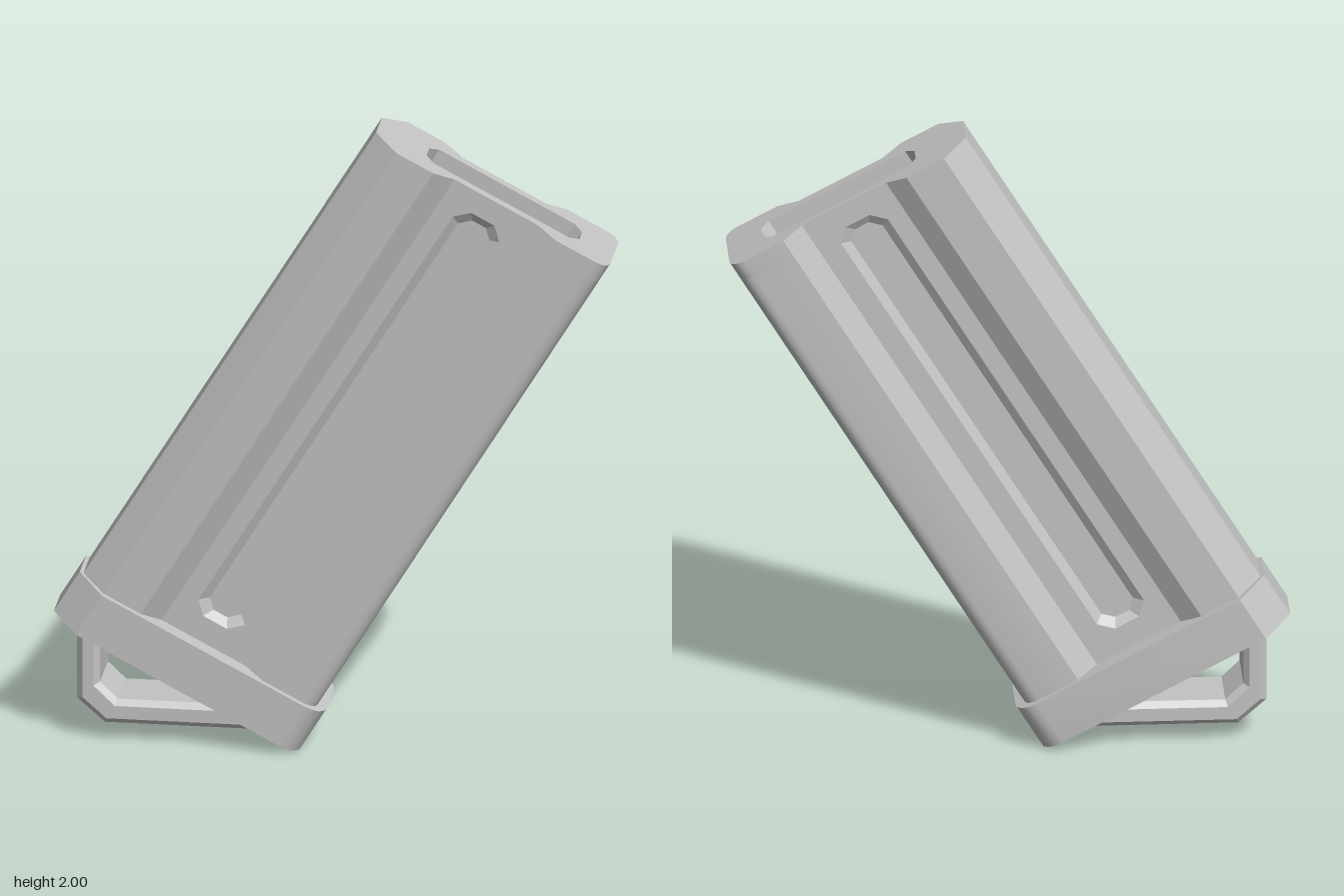
import * as THREE from 'three';
import { toCreasedNormals } from 'three/addons/utils/BufferGeometryUtils.js';

// Slanted frame: s runs across the top edge, t runs up the body, from the upper left corner
const W = new THREE.Vector3(0.884, -0.467, 0);
const A = new THREE.Vector3(0.52, 0.854, 0);
const Z = new THREE.Vector3(0, 0, 1);
const ORIGIN = new THREE.Vector3(0.134, 2.0, 0);
const sectionFrame = new THREE.Matrix4().makeBasis(W, Z.clone().negate(), A).setPosition(ORIGIN);
const panelFrame = new THREE.Matrix4().makeBasis(W, A, Z).setPosition(ORIGIN);

const toPoints = (list) => list.map(([x, y]) => new THREE.Vector2(x, y));

// Rectangle with cut corners
function cutRect(x0, x1, y0, y1, c) {
  return toPoints([
    [x0 + c, y0], [x1 - c, y0], [x1, y0 + c], [x1, y1 - c],
    [x1 - c, y1], [x0 + c, y1], [x0, y1 - c], [x0, y0 + c],
  ]);
}

// Symmetric outline: the half on +y, closed by a rounded far end, then mirrored
function outline(half, end, side, radius) {
  const top = half.slice();
  for (let i = 0; i <= 4; i++) {
    const a = (i / 4) * Math.PI / 2;
    top.push([end - radius + Math.sin(a) * radius, side - radius + Math.cos(a) * radius]);
  }
  const bottom = top.map(([x, y]) => [x, -y]);
  return new THREE.Shape(toPoints([...bottom, ...top.reverse()]));
}

// Body section with a shallow channel of the given floor height on each side
function bodyOutline(floor) {
  const half = [[0, 0.065], [0.08, 0.135], [0.209, 0.135], [0.277, 0.095]];
  if (floor < 0.095) half.push([0.277, floor], [0.566, floor]);
  half.push([0.566, 0.095], [0.634, 0.135]);
  return outline(half, 0.816, 0.135, 0.045);
}

function prism(shape, t0, t1) {
  const g = new THREE.ExtrudeGeometry(shape, { depth: t1 - t0, bevelEnabled: false });
  g.translate(0, 0, t0).applyMatrix4(sectionFrame);
  return toCreasedNormals(g, 0.48);
}

// Sloped wall joining two outlines with equal point counts
function slopedWall(outer, zOuter, inner, zInner) {
  const pos = [];
  outer.forEach((p, i) => {
    const j = (i + 1) % outer.length;
    const a = [p.x, p.y, zOuter], b = [outer[j].x, outer[j].y, zOuter];
    const c = [inner[j].x, inner[j].y, zInner], d = [inner[i].x, inner[i].y, zInner];
    pos.push(...a, ...b, ...c, ...a, ...c, ...d);
  });
  const g = new THREE.BufferGeometry();
  g.setAttribute('position', new THREE.Float32BufferAttribute(pos, 3));
  g.applyMatrix4(panelFrame).computeVertexNormals();
  return g;
}

export function createModel() {
  const model = new THREE.Group();
  const grey = new THREE.MeshStandardMaterial({ color: 0xc3c3c3, side: THREE.DoubleSide });
  grey.name = 'lightGrey';
  const add = (name, geometry, parent = model) => {
    const mesh = new THREE.Mesh(geometry, grey);
    mesh.name = name;
    parent.add(mesh);
    return mesh;
  };

  // Body, with a shallow slot in its top end
  const slotDepth = 0.06, grooveFloor = 0.077;
  add('body', prism(bodyOutline(grooveFloor), -1.75, -slotDepth));
  const end = bodyOutline(0.095);
  end.holes.push(new THREE.Path(cutRect(0.17, 0.70, -0.06, 0.06, 0.03)));
  add('slottedTopEnd', prism(end, -slotDepth, 0));

  // Channel floors, each with a long pressed groove
  const rim = cutRect(0.335, 0.497, -1.65, -0.07, 0.04);
  const foot = cutRect(0.362, 0.47, -1.623, -0.097, 0.03);
  const floorShape = new THREE.Shape(toPoints([
    [0.277, -1.75], [0.566, -1.75], [0.566, -slotDepth], [0.277, -slotDepth],
  ]));
  floorShape.holes.push(new THREE.Path(rim));
  const floorGeometry = new THREE.ShapeGeometry(floorShape);
  floorGeometry.translate(0, 0, 0.095).applyMatrix4(panelFrame);
  const wallGeometry = slopedWall(rim, 0.095, foot, grooveFloor);
  for (const [name, side] of [['frontChannel', 1], ['backChannel', -1]]) {
    const channel = new THREE.Group();
    channel.name = name;
    channel.scale.z = side;
    add('channelFloor', floorGeometry, channel);
    add('grooveWall', wallGeometry, channel);
    model.add(channel);
  }

  // Base plate, a wider collar around the lower end
  const plate = outline([[-0.012, 0.07], [0.078, 0.157]], 0.846, 0.157, 0.07);
  add('basePlate', prism(plate, -1.88, -1.727));

  // Pull loop under the plate, with bevelled edges
  const loop = new THREE.Shape(toPoints([
    [-0.78, 0.40], [-0.78, 0.13], [-0.695, 0.055], [-0.15, 0.055],
    [-0.15, 0.132], [-0.655, 0.132], [-0.71, 0.185], [-0.71, 0.40],
  ]));
  const bevel = 0.018, halfWidth = 0.107;
  const loopGeometry = new THREE.ExtrudeGeometry(loop, {
    depth: 2 * (halfWidth - bevel), bevelEnabled: true, bevelSegments: 1,
    bevelSize: bevel, bevelThickness: bevel, bevelOffset: -bevel,
  });
  loopGeometry.translate(0, 0, bevel - halfWidth);
  add('pullLoop', toCreasedNormals(loopGeometry, 0.48));

  return model;
}
